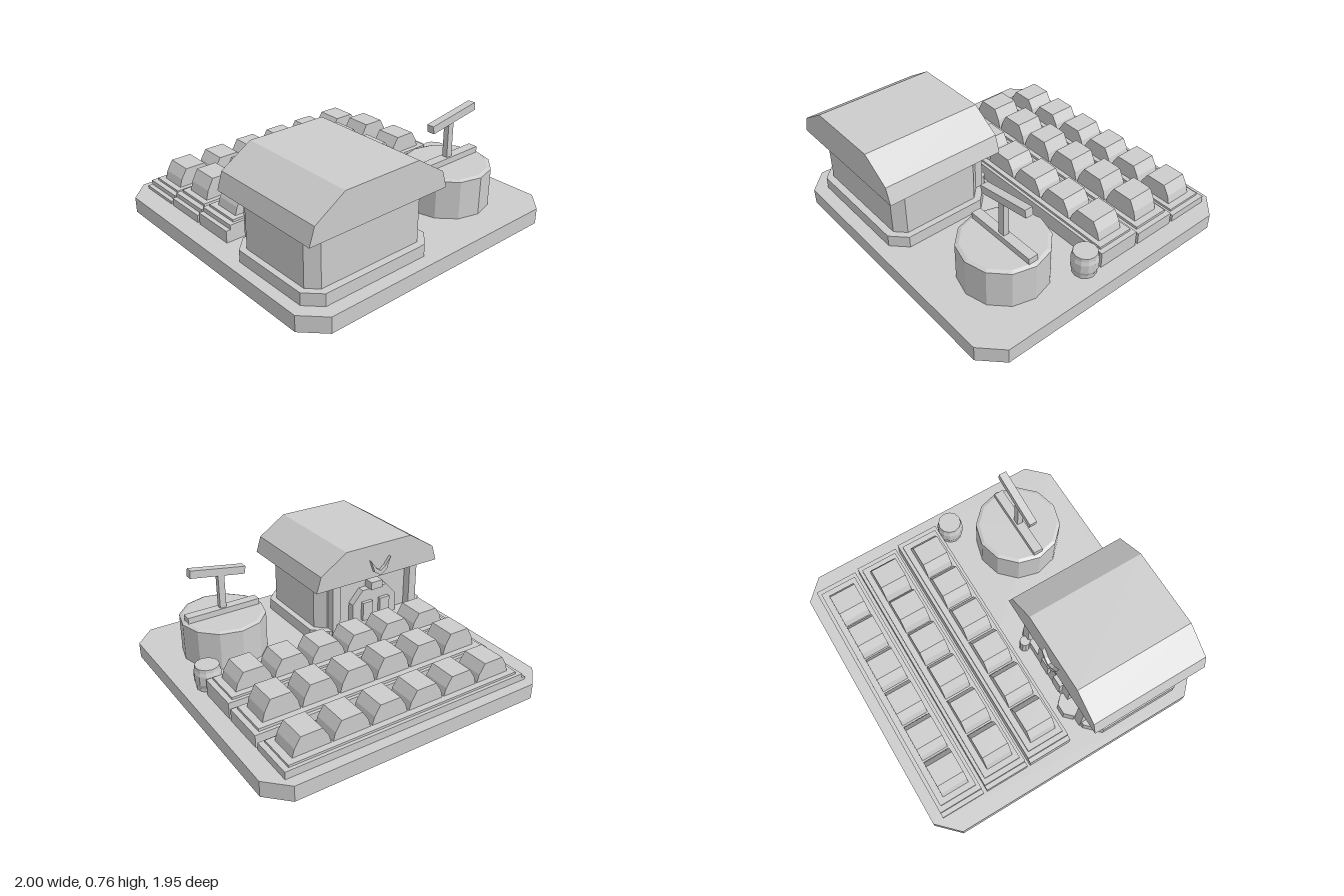
import * as THREE from 'three';

const stone = new THREE.MeshStandardMaterial({ color: 0xcccccc, flatShading: true, side: THREE.DoubleSide });
stone.name = 'pale grey';

const FLOOR = 0.105; // height of the ground surface

function add(parent, name, geometry, x = 0, y = 0, z = 0) {
  const mesh = new THREE.Mesh(geometry, stone);
  mesh.name = name;
  mesh.position.set(x, y, z);
  parent.add(mesh);
  return mesh;
}

// Box given by its limits on each axis
function block(parent, name, [x0, x1], [y0, y1], [z0, z1]) {
  return add(parent, name, new THREE.BoxGeometry(x1 - x0, y1 - y0, z1 - z0),
    (x0 + x1) / 2, (y0 + y1) / 2, (z0 + z1) / 2);
}

const toShape = (points) => new THREE.Shape(points.map(([x, y]) => new THREE.Vector2(x, y)));
const extrude = (points, depth) => new THREE.ExtrudeGeometry(toShape(points), { depth, bevelEnabled: false });

// Rectangle with four cut corners, counter-clockwise
const cutRectangle = (a, b, cut) => [[a, b - cut], [a - cut, b], [cut - a, b], [-a, b - cut],
  [-a, cut - b], [cut - a, -b], [a - cut, -b], [a, cut - b]];

// Upright slab with cut corners
function slab(parent, name, [x0, x1], [y0, y1], [z0, z1], cut) {
  const outline = cutRectangle((x1 - x0) / 2, (z1 - z0) / 2, cut);
  const geometry = extrude(outline, y1 - y0).rotateX(-Math.PI / 2);
  return add(parent, name, geometry, (x0 + x1) / 2, y0, (z0 + z1) / 2);
}

// Ground plate with a skirt around it, open underneath
function makeGround() {
  const ground = new THREE.Group();
  ground.name = 'ground';
  const outline = cutRectangle(1, 0.977, 0.135);
  add(ground, 'groundTop', new THREE.ShapeGeometry(toShape(outline)).rotateX(-Math.PI / 2), 0, FLOOR, 0);
  const corners = [];
  outline.forEach(([x0, y0], i) => {
    const [x1, y1] = outline[(i + 1) % outline.length];
    corners.push(x0, 0, -y0, x1, 0, -y1, x1, FLOOR, -y1, x0, 0, -y0, x1, FLOOR, -y1, x0, FLOOR, -y0);
  });
  const skirt = new THREE.BufferGeometry();
  skirt.setAttribute('position', new THREE.Float32BufferAttribute(corners, 3));
  skirt.computeVertexNormals();
  add(ground, 'groundSkirt', skirt);
  return ground;
}

function makeHouse() {
  const house = new THREE.Group();
  house.name = 'house';
  slab(house, 'plinth', [-0.925, 0.005], [FLOOR, 0.185], [0.15, 0.89], 0.095);
  slab(house, 'walls', [-0.885, -0.037], [0.18, 0.52], [0.2, 0.842], 0.065);

  // Roof with sloped sides
  add(house, 'roof', extrude([[-0.955, 0.52], [0.035, 0.52], [0, 0.63], [-0.195, 0.757],
    [-0.72, 0.757], [-0.92, 0.63]], 0.804), 0, 0, 0.11);

  // Doorway on the back wall
  const c = -0.46;
  add(house, 'doorSurround', extrude([[-0.18, FLOOR], [0.18, FLOOR], [0.18, 0.33], [0.1, 0.42],
    [-0.1, 0.42], [-0.18, 0.33]], 0.06), c, 0, 0.15);
  block(house, 'doorPlaque', [c - 0.045, c + 0.045], [0.42, 0.475], [0.125, 0.21]);
  for (const s of [-1, 1]) {
    block(house, 'doorPanel', [c + s * 0.07 - 0.04, c + s * 0.07 + 0.04], [0.2, 0.335], [0.125, 0.16]);
    block(house, 'backPost', [c + s * 0.32 - 0.03, c + s * 0.32 + 0.03], [FLOOR, 0.52], [0.14, 0.21]);
    // Curved horn ornament on the gable
    add(house, 'horn', extrude([[0, 0.535], [s * 0.05, 0.57], [s * 0.08, 0.655],
      [s * 0.035, 0.595], [0, 0.57]], 0.025), c, 0, 0.087);
  }

  // Small things standing by the doorway
  add(house, 'stump', new THREE.CylinderGeometry(0.09, 0.09, 0.09, 8).rotateY(Math.PI / 8), -0.67, 0.15, 0.163);
  add(house, 'smallPot', new THREE.CylinderGeometry(0.035, 0.035, 0.12, 10), -0.165, 0.165, 0.12);
  return house;
}

// Raised bed carrying six tapered blocks
function makeRow(zFront, yBase, yTray, yTop) {
  const row = new THREE.Group();
  row.name = 'blockRow';
  const zBack = zFront - 0.297;
  block(row, 'bedStep', [-0.865, -0.8], [FLOOR, yBase - 0.03], [zBack, zFront]);
  block(row, 'bed', [-0.835, 0.88], [FLOOR, yBase], [zBack, zFront]);
  block(row, 'tray', [-0.8, 0.845], [yBase, yTray], [zBack + 0.022, zFront - 0.02]);
  const h = yTop - yTray;
  const profile = [[-0.125, 0], [0.125, 0], [0.11, h * 0.45], [0.07, h], [-0.07, h], [-0.11, h * 0.45]];
  for (let i = 0; i < 6; i++) {
    add(row, 'taperedBlock', extrude(profile, 0.183), -0.636 + i * 0.262, yTray, zBack + 0.062);
  }
  return row;
}

function makeWell() {
  const well = new THREE.Group();
  well.name = 'well';
  well.position.set(0.53, 0, 0.487);
  add(well, 'wellBody', new THREE.CylinderGeometry(0.285, 0.285, 0.255, 12), 0, FLOOR + 0.1275, 0);
  add(well, 'wellLid', new THREE.CylinderGeometry(0.262, 0.285, 0.01, 12), 0, 0.365, 0);
  block(well, 'crossBar', [-0.256, 0.256], [0.365, 0.41], [-0.032, 0.032]);
  block(well, 'post', [-0.022, 0.022], [0.4, 0.66], [-0.019, 0.019]);
  const lever = add(well, 'lever', new THREE.BoxGeometry(0.387, 0.052, 0.052), 0.022, 0.672, 0);
  lever.rotation.z = 0.165;
  return well;
}

export function createModel() {
  const model = new THREE.Group();
  model.name = 'farmyard';
  model.add(makeGround(), makeHouse(), makeWell());
  model.add(makeRow(0.028, 0.215, 0.23, 0.345));
  model.add(makeRow(-0.29, 0.187, 0.205, 0.34));
  model.add(makeRow(-0.61, 0.155, 0.17, 0.288));

  // Barrel with bulging sides
  const barrel = [[0, FLOOR], [0.076, FLOOR], [0.078, 0.13], [0.087, 0.155], [0.087, 0.215],
    [0.079, 0.24], [0.077, 0.262], [0, 0.262]];
  add(model, 'barrel', new THREE.LatheGeometry(barrel.map(([r, y]) => new THREE.Vector2(r, y)), 12),
    0.828, 0, 0.117);
  return model;
}
